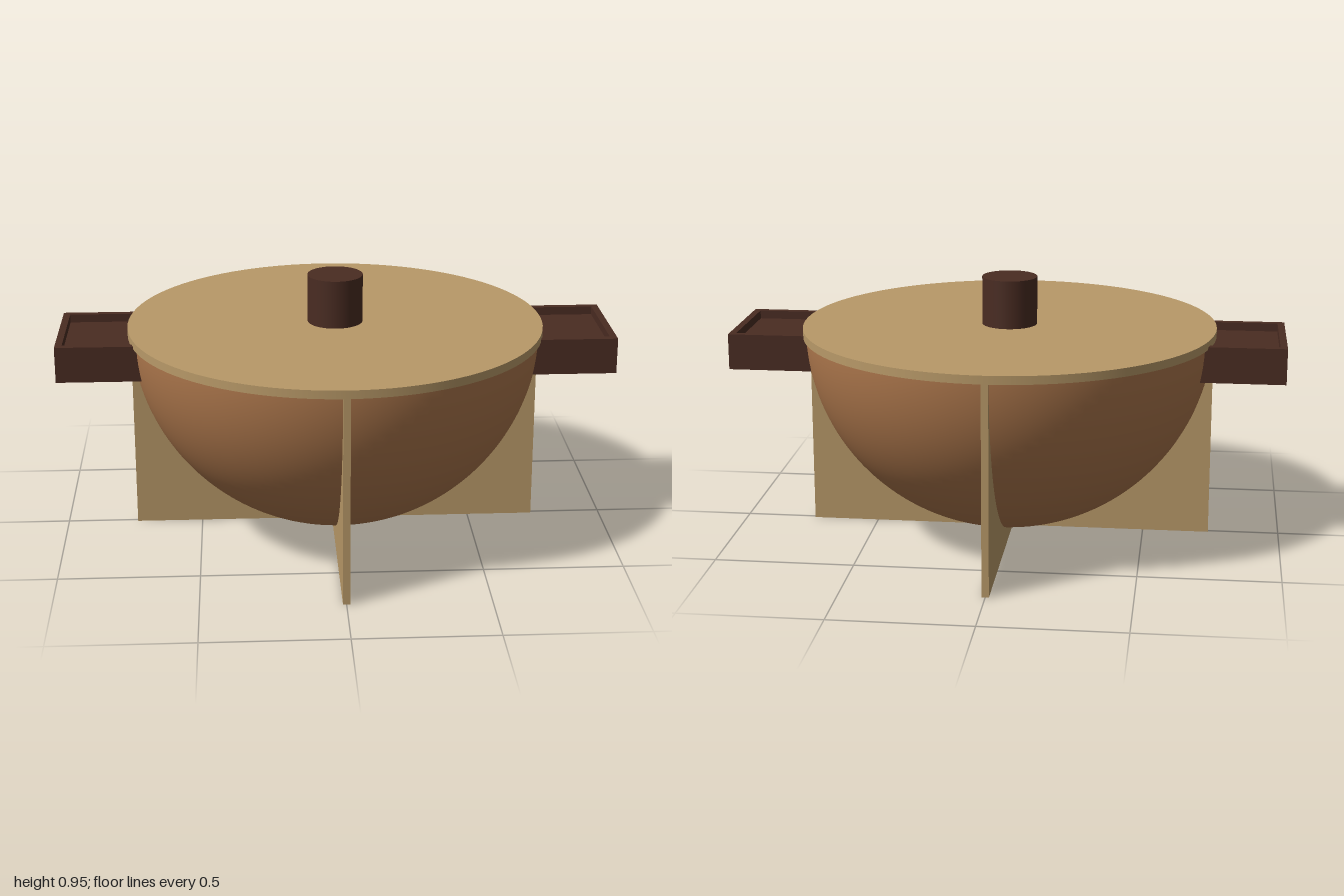
import * as THREE from 'three';

const material = (name, color) => {
  const m = new THREE.MeshStandardMaterial({ color });
  m.name = name;
  return m;
};

export function createModel() {
  const tan = material('paleWood', 0xb89968);
  const copper = material('copperBrown', 0xad774c);
  const dark = material('darkWood', 0x4a2c22);
  const model = new THREE.Group();

  const add = (name, geometry, mat, x, y, z, parent = model) => {
    const mesh = new THREE.Mesh(geometry, mat);
    mesh.name = name;
    mesh.position.set(x, y, z);
    parent.add(mesh);
    return mesh;
  };

  // Half-sphere bowl, closed off by the lid
  const bowlRadius = 0.742;
  add('bowl', new THREE.SphereGeometry(bowlRadius, 96, 40, 0, Math.PI * 2, Math.PI / 2, Math.PI / 2),
    copper, 0, 0.772, 0);

  // Flat lid and its round knob
  add('lid', new THREE.CylinderGeometry(0.752, 0.752, 0.03, 96), tan, 0, 0.76, 0);
  add('knob', new THREE.CylinderGeometry(0.1, 0.1, 0.18, 64), dark, 0, 0.86, 0);

  // Two crossed boards that carry the bowl
  add('standBoardAcross', new THREE.BoxGeometry(1.484, 0.75, 0.025), tan, 0, 0.375, 0);
  add('standBoardDeep', new THREE.BoxGeometry(0.025, 0.75, 1.5), tan, 0, 0.375, 0);

  // Block handles with a shallow recess on top
  const inner = 0.66, outer = 1, half = 0.206, rim = 0.025;
  const bottom = 0.625, floor = 0.725, top = 0.755;
  const rectangle = (PathType, inset) => new PathType([
    new THREE.Vector2(inner + inset, -half + inset),
    new THREE.Vector2(outer - inset, -half + inset),
    new THREE.Vector2(outer - inset, half - inset),
    new THREE.Vector2(inner + inset, half - inset),
  ]);
  const frame = rectangle(THREE.Shape, 0);
  frame.holes.push(rectangle(THREE.Path, rim));
  const rimGeometry = new THREE.ExtrudeGeometry(frame, { depth: top - bottom, bevelEnabled: false });
  rimGeometry.rotateX(-Math.PI / 2);
  const coreGeometry = new THREE.BoxGeometry(outer - inner - 2 * rim, floor - bottom, 2 * (half - rim));
  for (const [name, turn] of [['leftHandle', 0], ['rightHandle', Math.PI]]) {
    const handle = new THREE.Group();
    handle.name = name;
    add(name + 'Rim', rimGeometry, dark, 0, bottom, 0, handle);
    add(name + 'Core', coreGeometry, dark, (inner + outer) / 2, (bottom + floor) / 2, 0, handle);
    handle.rotation.y = turn;
    model.add(handle);
  }

  return model;
}
